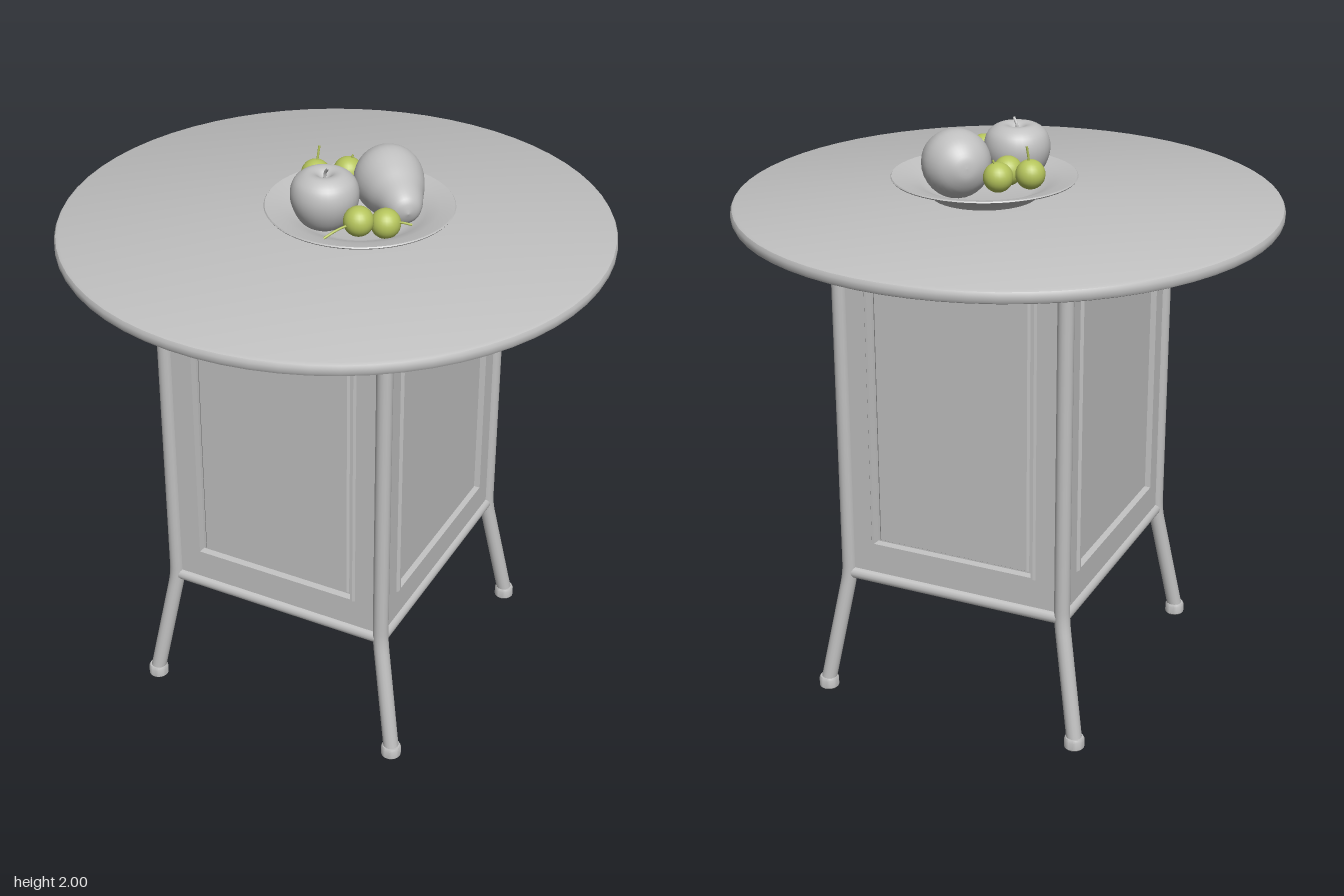
import * as THREE from 'three';
import { toCreasedNormals } from 'three/addons/utils/BufferGeometryUtils.js';

const V = (x, y, z) => new THREE.Vector3(x, y, z);

export function createModel() {
  const root = new THREE.Group();
  const grey = new THREE.MeshStandardMaterial({ color: 0xc0c0c0 });
  grey.name = 'plain grey';
  const green = new THREE.MeshStandardMaterial({ color: 0xb5c45c });
  green.name = 'grape green';

  const add = (name, geometry, material = grey, parent = root) => {
    const mesh = new THREE.Mesh(geometry, material);
    mesh.name = name;
    parent.add(mesh);
    return mesh;
  };
  const lathe = (points, segments = 48, crease = 0.6) =>
    toCreasedNormals(new THREE.LatheGeometry(points.map(([r, y]) => new THREE.Vector2(r, y)), segments), crease);
  const rod = (a, b, r) => new THREE.TubeGeometry(new THREE.LineCurve3(a, b), 1, r, 16);
  const stem = (name, points, r, material, parent) =>
    add(name, new THREE.TubeGeometry(new THREE.CatmullRomCurve3(points), 10, r, 8), material, parent);

  // Round top with a softened edge
  add('tableTop', lathe([[0, 1.709], [0.915, 1.709], [0.925, 1.714], [0.93, 1.724], [0.93, 1.74],
    [0.925, 1.75], [0.915, 1.755], [0, 1.755]], 64));

  // Cabinet sides: nested rectangles [half width, bottom, top, depth] joined by quads
  function panelGeometry(halfWidth, h) {
    const rings = [
      [halfWidth, 0.45, 1.71, 0],
      [h, 0.585, 1.62, 0],
      [h - 0.006, 0.591, 1.614, 0.01],
      [h - 0.014, 0.597, 1.606, 0.01],
      [h - 0.02, 0.601, 1.6, -0.012],
      [h - 0.028, 0.606, 1.592, -0.012],
      [h - 0.035, 0.611, 1.586, -0.004],
    ].map(([w, b, t, z]) => [[-w, b, z], [w, b, z], [w, t, z], [-w, t, z]]);
    const pos = [];
    const quad = (a, b, c, d) => pos.push(...a, ...b, ...c, ...a, ...c, ...d);
    for (let i = 0; i + 1 < rings.length; i++)
      for (let k = 0; k < 4; k++) {
        const n = (k + 1) % 4;
        quad(rings[i][k], rings[i][n], rings[i + 1][n], rings[i + 1][k]);
      }
    quad(...rings[rings.length - 1]);
    const g = new THREE.BufferGeometry();
    g.setAttribute('position', new THREE.Float32BufferAttribute(pos, 3));
    g.computeVertexNormals();
    return g;
  }
  const PX = 0.405, PZ = 0.455;
  [['front', 0], ['left', 1], ['back', 2], ['right', 3]].forEach(([side, i]) => {
    const odd = i % 2;
    const mesh = add(side + 'Panel', odd ? panelGeometry(PZ, 0.352) : panelGeometry(PX, 0.31));
    const d = (odd ? PX : PZ) + 0.008;
    mesh.rotation.y = i * Math.PI / 2;
    mesh.position.set([0, d, 0, -d][i], 0, [d, 0, -d, 0][i]);
  });
  add('cabinetFloor', new THREE.BoxGeometry(PX * 2, 0.02, PZ * 2)).position.y = 0.46;

  // Bottom rails
  for (const s of [-1, 1]) {
    add('endRail', rod(V(-PX, 0.46, s * PZ), V(PX, 0.46, s * PZ), 0.023));
    add('sideRail', rod(V(s * PX, 0.46, -PZ), V(s * PX, 0.46, PZ), 0.023));
  }

  // Corner posts that bend outward into legs, with capped feet
  const foot = lathe([[0, 0], [0.031, 0], [0.035, 0.005], [0.035, 0.034], [0.031, 0.042], [0, 0.044]], 24);
  for (const sx of [-1, 1]) for (const sz of [-1, 1]) {
    const path = new THREE.CurvePath();
    const top = V(sx * PX, 1.71, sz * PZ), a = V(sx * PX, 0.49, sz * PZ);
    const knee = V(sx * PX, 0.45, sz * PZ), end = V(sx * 0.478, 0.03, sz * 0.508);
    const b = knee.clone().lerp(end, 0.1);
    path.add(new THREE.LineCurve3(top, a));
    path.add(new THREE.QuadraticBezierCurve3(a, knee, b));
    path.add(new THREE.LineCurve3(b, end));
    add('cornerLeg', new THREE.TubeGeometry(path, 80, 0.027, 16));
    add('foot', foot).position.set(end.x, 0, end.z);
  }

  // Chamfered bearers under the top
  const profile = new THREE.Shape([[-0.06, 0.045], [-0.06, 0.014], [-0.046, 0], [0.046, 0], [0.06, 0.014], [0.06, 0.045]]
    .map(([x, y]) => new THREE.Vector2(x, y)));
  for (const s of [-1, 1]) {
    const bar = new THREE.Group();
    bar.name = 'bearer';
    bar.position.set(s * 0.52, 1.666, 0);
    add('bearerBar', new THREE.ExtrudeGeometry(profile, { depth: 1.05, bevelEnabled: false }).translate(0, 0, -0.525), grey, bar);
    add('bearerPlate', new THREE.BoxGeometry(0.06, 0.014, 1.1), grey, bar).position.y = 0.037;
    root.add(bar);
  }

  // Flared plate
  const plate = add('plate', lathe([[0, 0.001], [0.18, 0.001], [0.19, 0.012], [0.225, 0.034], [0.27, 0.052], [0.314, 0.065],
    [0.317, 0.069], [0.314, 0.073], [0.265, 0.063], [0.22, 0.047], [0.185, 0.026], [0.16, 0.02], [0, 0.02]], 48, 0.7));
  plate.position.set(0.08, 1.755, -0.015);

  // Apple with dimples at both ends
  const apple = new THREE.Group();
  apple.name = 'apple';
  apple.position.set(0.015, 1.885, 0.11);
  const smooth = (pts, n = 32) => new THREE.LatheGeometry(
    new THREE.SplineCurve(pts.map(([r, y]) => new THREE.Vector2(r, y))).getPoints(36).map(p => p.set(Math.max(p.x, 0), p.y)), n);
  add('appleBody', smooth([[0, -0.085], [0.03, -0.1], [0.075, -0.078], [0.104, -0.03], [0.113, 0.02],
    [0.1, 0.065], [0.066, 0.091], [0.035, 0.09], [0.012, 0.073], [0, 0.066]]), grey, apple);
  stem('appleStem', [V(0, 0.065, 0), V(0.002, 0.09, 0), V(0.016, 0.112, 0.008)], 0.005, grey, apple);
  root.add(apple);

  // Pear lying on its side, narrow end toward the front left
  const pear = new THREE.Group();
  pear.name = 'pear';
  pear.position.set(0.135, 1.885, -0.115);
  pear.quaternion.setFromUnitVectors(V(0, 1, 0), V(0.66, -0.1, 0.72).normalize());
  add('pearBody', smooth([[0, -0.118], [0.04, -0.112], [0.085, -0.08], [0.112, -0.03], [0.115, 0.02],
    [0.1, 0.08], [0.08, 0.13], [0.062, 0.18], [0.04, 0.212], [0, 0.226]]), grey, pear);
  root.add(pear);

  // Grapes: centre, then the stem tip
  [
    [[-0.115, 1.867, -0.075], [-0.108, 1.965, -0.09]],
    [[-0.03, 1.865, -0.145], [-0.015, 1.925, -0.155]],
    [[-0.02, 1.86, -0.045], [-0.11, 1.845, 0.032]],
    [[0.165, 1.862, 0.165], [0.1, 1.838, 0.282]],
    [[0.23, 1.84, 0.1], [0.32, 1.85, 0.09]],
  ].forEach(([c, tip]) => {
    const center = V(...c), end = V(...tip);
    const g = new THREE.SphereGeometry(0.05, 24, 16);
    add('grape', g, green).position.copy(center);
    const mid = center.clone().lerp(end, 0.6).add(V(0, 0.006, 0));
    stem('grapeStem', [center, mid, end], 0.004, green, root);
  });

  return root;
}
